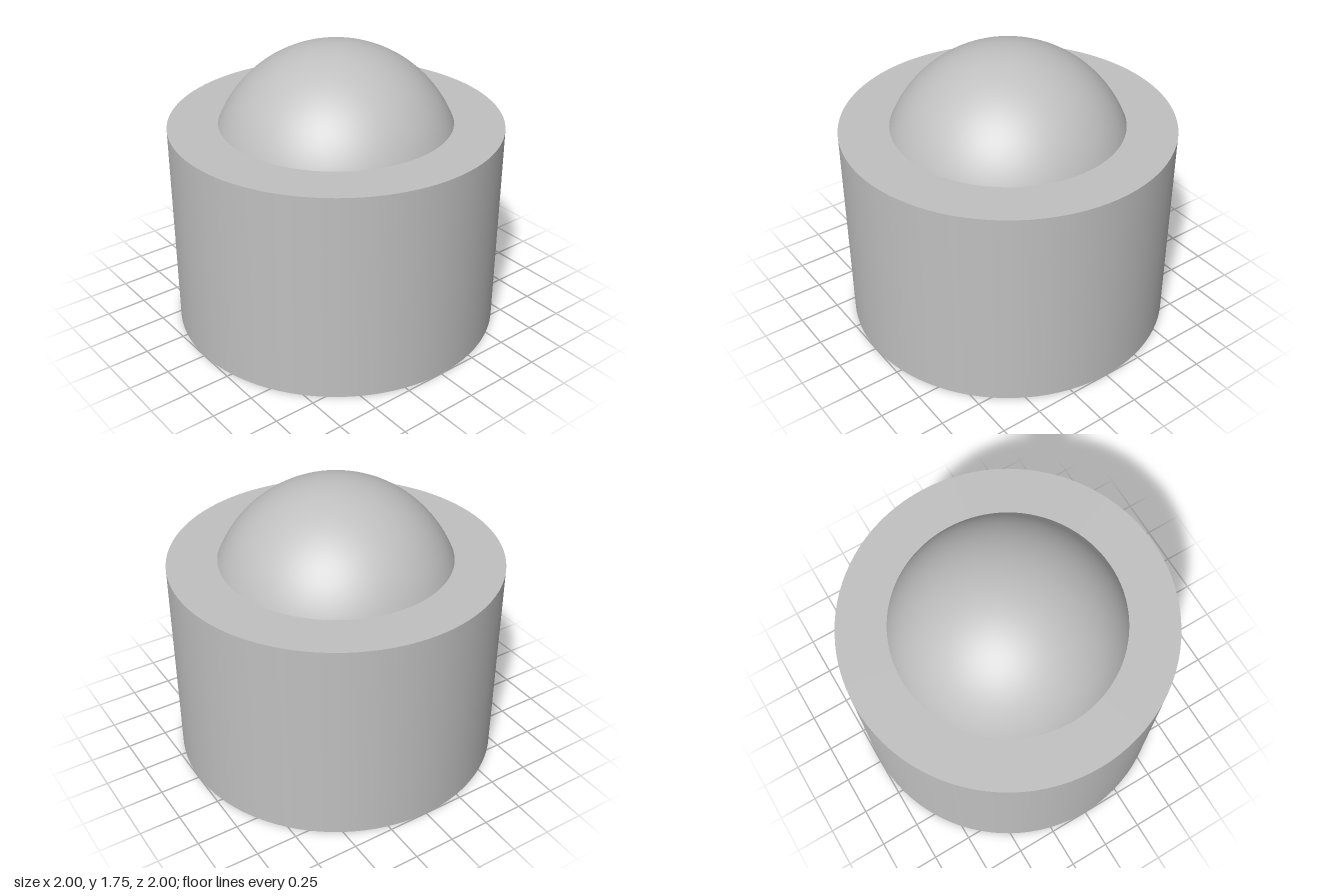
import * as THREE from 'three';

export function createModel() {
  const group = new THREE.Group();
  const grey = new THREE.MeshStandardMaterial({ color: 0xc0c0c0 });
  grey.name = 'plain grey';

  const bodyHeight = 1.28;
  const domeRim = 0.7;
  const domeHeight = 0.465;

  // Solid cylindrical body standing on the ground
  const body = new THREE.Mesh(new THREE.CylinderGeometry(1, 1, bodyHeight, 96), grey);
  body.name = 'body';
  body.position.y = bodyHeight / 2;
  group.add(body);

  // Spherical cap rising from the top face
  const radius = (domeRim ** 2 + domeHeight ** 2) / (2 * domeHeight);
  const capAngle = Math.asin(domeRim / radius);
  const dome = new THREE.Mesh(
    new THREE.SphereGeometry(radius, 96, 32, 0, Math.PI * 2, 0, capAngle), grey);
  dome.name = 'dome';
  dome.position.y = bodyHeight + domeHeight - radius;
  group.add(dome);

  return group;
}
